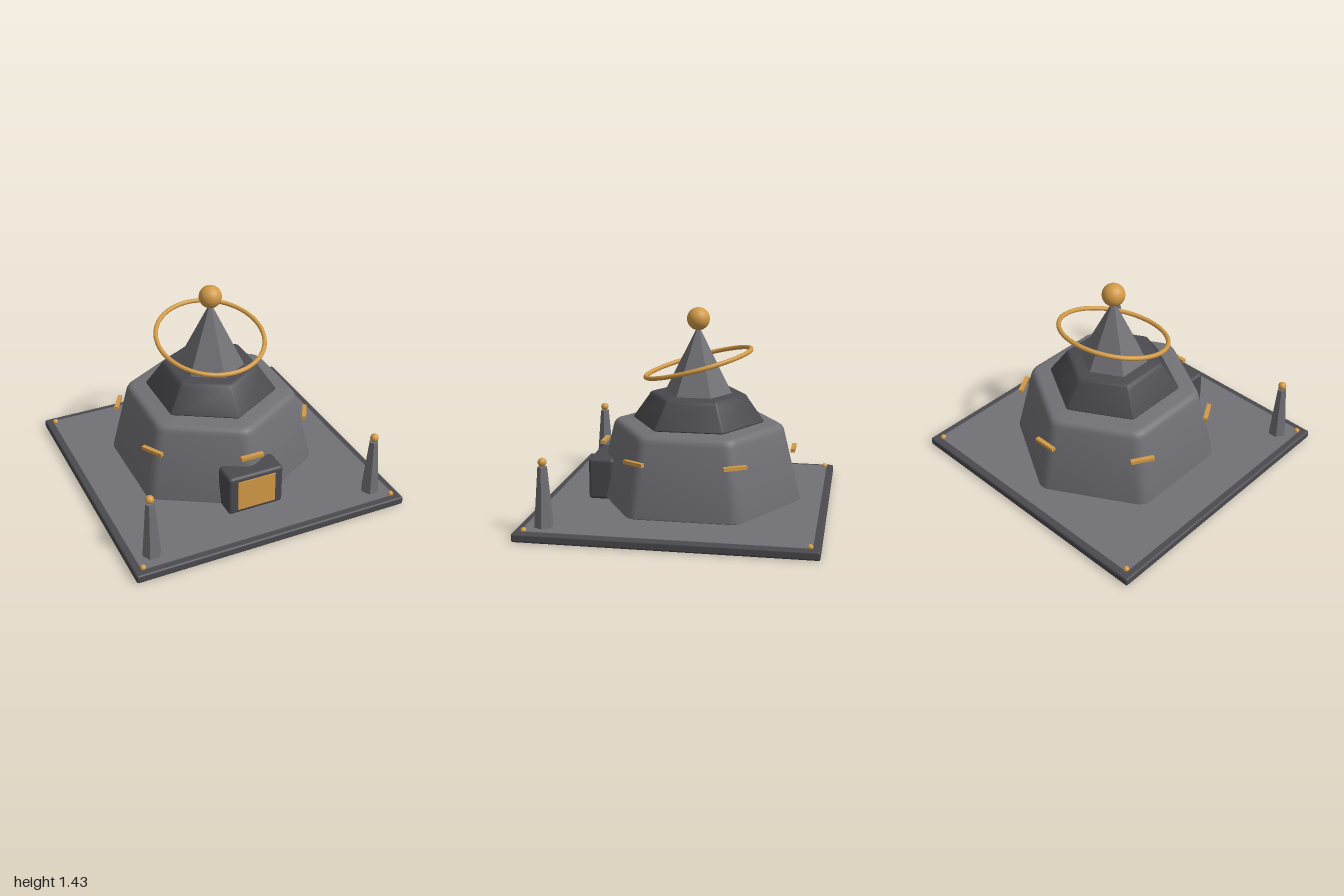
import * as THREE from 'three';
import { toCreasedNormals } from 'three/addons/utils/BufferGeometryUtils.js';
import { RoundedBoxGeometry } from 'three/addons/geometries/RoundedBoxGeometry.js';

const CENTRE_Z = -0.07;

function material(name, color, flatShading = false) {
  const m = new THREE.MeshStandardMaterial({ color, flatShading });
  m.name = name;
  return m;
}

// Six-sided solid with rounded corners; levels are [apothem, y, corner radius]
function hexLoft(levels, arc = 4) {
  const pos = [], index = [];
  const n = 6 * (arc + 1);
  for (const [apothem, y, r] of levels) {
    const d = (apothem - r) / Math.cos(Math.PI / 6);
    for (let k = 0; k < 6; k++) {
      const a = k * Math.PI / 3;
      for (let s = 0; s <= arc; s++) {
        const t = a + (s / arc - 0.5) * Math.PI / 3;
        pos.push(d * Math.sin(a) + r * Math.sin(t), y, d * Math.cos(a) + r * Math.cos(t));
      }
    }
  }
  for (let i = 0; i < levels.length - 1; i++) {
    for (let j = 0; j < n; j++) {
      const a = i * n + j, b = i * n + (j + 1) % n;
      index.push(a, b, b + n, a, b + n, a + n);
    }
  }
  const g = new THREE.BufferGeometry();
  g.setAttribute('position', new THREE.Float32BufferAttribute(pos, 3));
  g.setIndex(index);
  return toCreasedNormals(g, 0.6);
}

export function createModel() {
  const model = new THREE.Group();
  model.name = 'temple';
  const grey = material('stone grey', 0x717176);
  const dark = material('dark stone', 0x4a4a4f);
  const gold = material('gold', 0xd29a46);

  const add = (name, geometry, mat, x = 0, y = 0, z = 0) => {
    const mesh = new THREE.Mesh(geometry, mat);
    mesh.name = name;
    mesh.position.set(x, y, z);
    model.add(mesh);
    return mesh;
  };
  const flat = (g) => toCreasedNormals(g, 0.3);
  const ball = (r) => new THREE.SphereGeometry(r, 32, 20);

  // Base plate with lighter paving
  add('basePlate', new RoundedBoxGeometry(2, 0.06, 2, 3, 0.014), dark, 0, 0.03, 0);
  add('paving', new THREE.BoxGeometry(1.9, 0.008, 1.9), grey, 0, 0.06, 0);

  // Main hall, tapering with a soft shoulder
  add('mainHall', hexLoft([
    [0.001, 0.077, 0.0005], [0.635, 0.077, 0.1], [0.644, 0.082, 0.1], [0.645, 0.092, 0.1],
    [0.545, 0.57, 0.1], [0.539, 0.592, 0.1], [0.529, 0.608, 0.095],
    [0.515, 0.619, 0.09], [0.495, 0.624, 0.08], [0.001, 0.624, 0.0005],
  ]), grey, 0, 0, CENTRE_Z);

  // Upper tier
  add('upperTier', hexLoft([
    [0.001, 0.63, 0.0005], [0.402, 0.63, 0.02], [0.406, 0.636, 0.02], [0.404, 0.644, 0.02],
    [0.311, 0.795, 0.02], [0.302, 0.812, 0.02], [0.292, 0.823, 0.02],
    [0.278, 0.829, 0.02], [0.001, 0.829, 0.0005],
  ]), dark, 0, 0, CENTRE_Z);

  // Spire, finial and tilted ring
  add('spire', flat(new THREE.ConeGeometry(0.24, 0.48, 6)), grey, 0, 1.067, CENTRE_Z);
  add('finial', ball(0.08), gold, 0, 1.35, CENTRE_Z);
  const ring = add('halo', new THREE.TorusGeometry(0.383, 0.016, 12, 72), gold, 0, 1.04, CENTRE_Z);
  ring.rotation.x = Math.PI / 2 + 0.265;

  // Gold bars facing the six corners of the hall
  for (let k = 0; k < 6; k++) {
    const a = k * Math.PI / 3;
    const bar = add('cornerBar', new THREE.BoxGeometry(0.165, 0.025, 0.03), gold,
      0.68 * Math.sin(a), 0.452, CENTRE_Z + 0.68 * Math.cos(a));
    bar.rotation.y = a;
  }

  // Entrance block and gold door
  add('porch', new RoundedBoxGeometry(0.41, 0.298, 0.185, 4, 0.025), dark, 0, 0.213, 0.5945);
  add('door', new THREE.BoxGeometry(0.28, 0.225, 0.0095), gold, 0, 0.213, 0.691);

  // Front pillars with balls, and studs at the base corners
  for (const s of [-1, 1]) {
    const pillar = add('pillar', flat(new THREE.CylinderGeometry(0.032, 0.066, 0.41, 6)), grey,
      s * 0.83, 0.268, 0.825);
    pillar.rotation.y = Math.PI / 6;
    add('pillarBall', ball(0.029), gold, s * 0.83, 0.503, 0.825);
    for (const t of [-1, 1]) add('cornerStud', ball(0.02), gold, s * 0.933, 0.066, t * 0.933);
  }
  return model;
}
